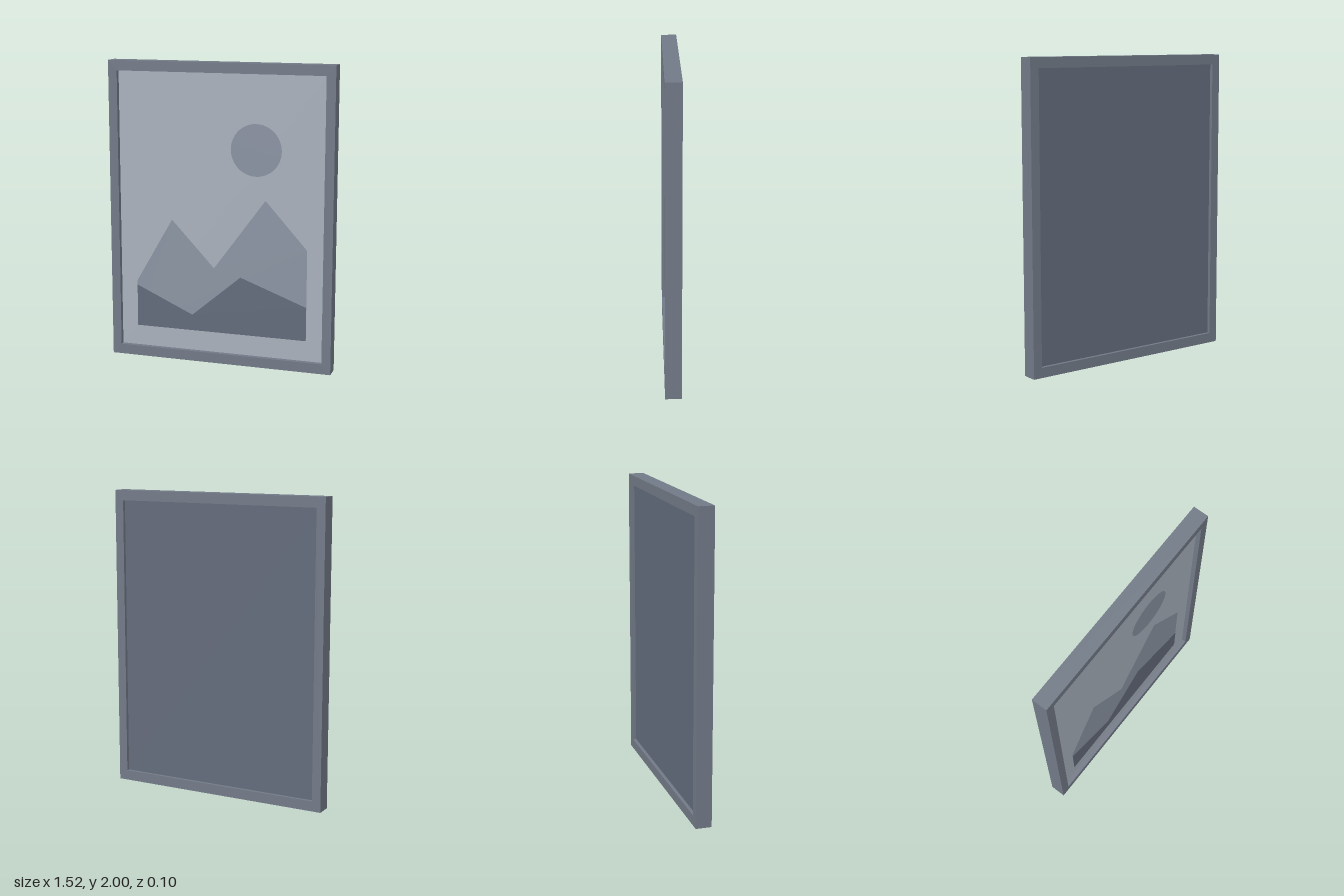
import * as THREE from 'three';

const W = 0.76, H = 2, DEPTH = 0.104; // half width, height, depth of the frame
const IN_W = 0.70, IN_LO = 0.067, IN_HI = 1.933; // opening of the frame
const PICTURE_Z = 0.02, BACK_Z = -0.03;

function polygon(points) {
  return new THREE.Shape(points.map(([x, y]) => new THREE.Vector2(x, y)));
}

function rectangle(halfWidth, low, high) {
  return polygon([[-halfWidth, low], [halfWidth, low], [halfWidth, high], [-halfWidth, high]]);
}

export function createModel() {
  const group = new THREE.Group();

  function add(name, geometry, color, z = 0) {
    const mesh = new THREE.Mesh(geometry, new THREE.MeshStandardMaterial({ color }));
    mesh.name = name;
    mesh.position.z = z;
    group.add(mesh);
    return mesh;
  }

  // Frame with a rectangular opening
  const frame = rectangle(W, 0, H);
  frame.holes.push(rectangle(IN_W, IN_LO, IN_HI));
  add('frame', new THREE.ExtrudeGeometry(frame, { depth: DEPTH, bevelEnabled: false }), 0x727a87, -DEPTH / 2);

  // Backing board and picture sheet, both recessed in the frame
  const panel = (z0, z1) => new THREE.BoxGeometry(IN_W * 2, IN_HI - IN_LO, z1 - z0)
    .translate(0, (IN_LO + IN_HI) / 2, (z0 + z1) / 2);
  add('backingBoard', panel(BACK_Z, 0), 0x636b7b);
  add('pictureSheet', panel(0, PICTURE_Z), 0xa9b1bc);

  // Flat picture shapes, layered just above the sheet
  const L = -0.587, R = 0.587, BASE = 0.205;
  const mountains = polygon([[L, BASE], [R, BASE], [R, 0.81], [0.307, 1.12], [-0.043, 0.645], [-0.335, 0.955], [L, 0.52]]);
  const hills = polygon([[L, BASE], [R, BASE], [R, 0.43], [0.14, 0.597], [-0.195, 0.313], [L, 0.49]]);
  add('sun', new THREE.CircleGeometry(0.17, 48), 0x8a92a2, PICTURE_Z + 0.002).position.set(0.242, 1.444, PICTURE_Z + 0.002);
  add('mountains', new THREE.ShapeGeometry(mountains), 0x8c95a4, PICTURE_Z + 0.002);
  add('hills', new THREE.ShapeGeometry(hills), 0x636b7b, PICTURE_Z + 0.004);

  return group;
}
